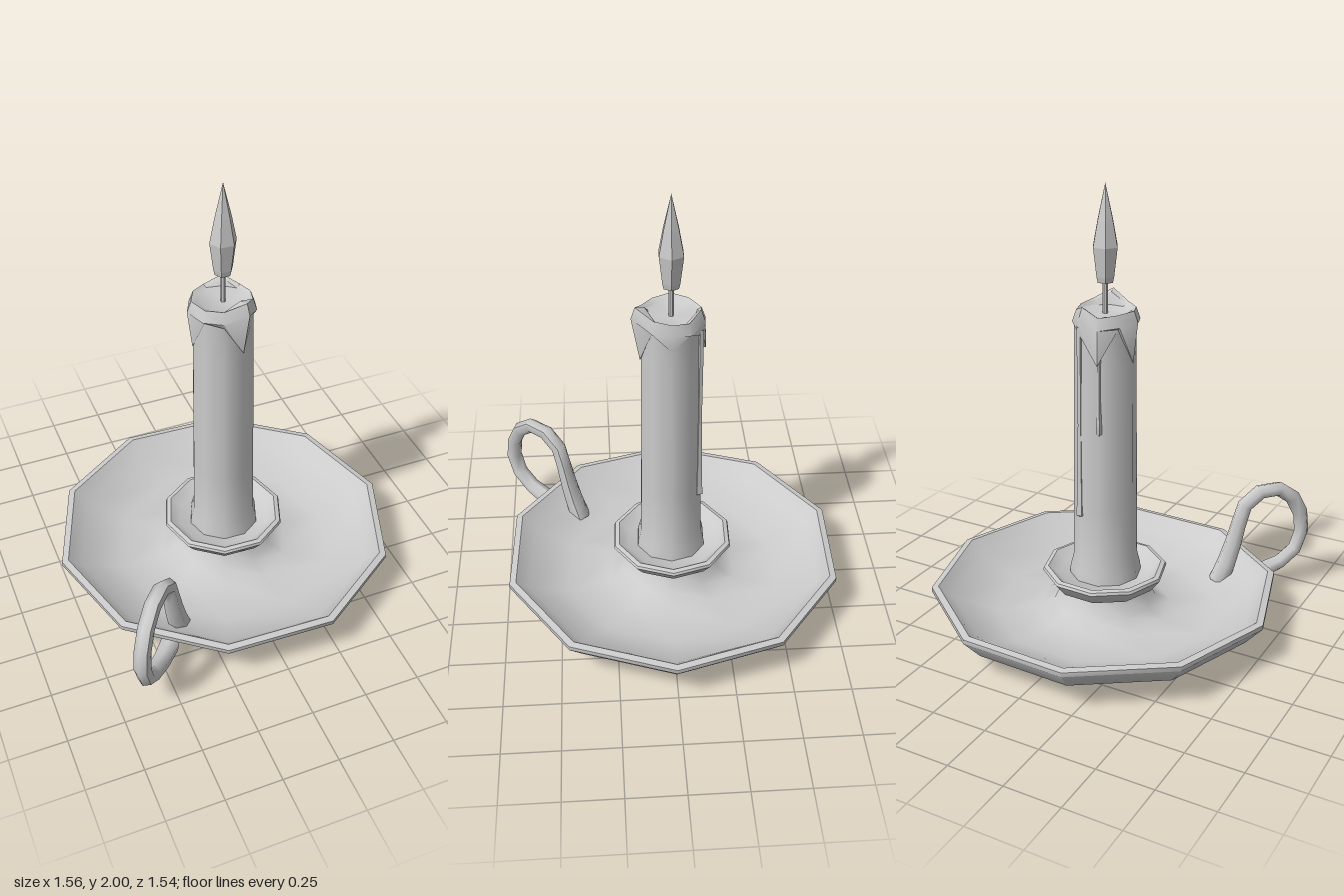
import * as THREE from 'three';
import { toCreasedNormals } from 'three/addons/utils/BufferGeometryUtils.js';

const SIDES = 10;
const START = THREE.MathUtils.degToRad(16);
const grey = new THREE.MeshStandardMaterial({ color: 0xcccccc, side: THREE.DoubleSide });
const flatGrey = new THREE.MeshStandardMaterial({ color: 0xcccccc, flatShading: true });

const lathe = (profile, sides = SIDES, start = START) =>
  new THREE.LatheGeometry(profile.map(([r, y]) => new THREE.Vector2(r, y)), sides, start);

function part(name, geometry, material = grey, crease = 0.8) {
  const mesh = new THREE.Mesh(crease ? toCreasedNormals(geometry, crease) : geometry, material);
  mesh.name = name;
  return mesh;
}

// Melted wax collar: every column has its own drip length, bulge and rim height
function waxCollar() {
  const low = [1.27, 1.44, 1.36, 1.43, 1.38, 1.27, 1.42, 1.26, 1.42, 1.41];
  const lowR = [0.138, 0.134, 0.134, 0.134, 0.138, 0.158, 0.134, 0.136, 0.134, 0.134];
  const bulge = [0.175, 0.145, 0.138, 0.14, 0.146, 0.152, 0.148, 0.157, 0.148, 0.146];
  const rim = [1.525, 1.49, 1.48, 1.475, 1.505, 1.47, 1.48, 1.485, 1.48, 1.485];
  const rows = 7;
  const geo = lathe(Array.from({ length: rows }, () => [1, 0]));
  const pos = geo.attributes.position;
  for (let i = 0; i <= SIDES; i++) {
    const k = i % SIDES, a = START + (i / SIDES) * Math.PI * 2;
    const column = [
      [0.12, low[k] + 0.01], [lowR[k], low[k]], [bulge[k], rim[k] - 0.05],
      [bulge[k] - 0.018, rim[k]], [0.115, rim[k] - 0.008], [0.1, 1.465], [0, 1.455],
    ];
    column.forEach(([r, y], j) => pos.setXYZ(i * rows + j, r * Math.sin(a), y, r * Math.cos(a)));
  }
  return geo;
}

// Looped handle in a diagonal upright plane, thicker where it joins the dish
function handleGeometry() {
  const points = [
    [-0.375, 0.09], [-0.41, 0.22], [-0.435, 0.36], [-0.46, 0.47], [-0.525, 0.525], [-0.595, 0.5],
    [-0.635, 0.42], [-0.657, 0.32], [-0.64, 0.2], [-0.595, 0.14], [-0.53, 0.105], [-0.46, 0.1],
  ].map(([x, y]) => new THREE.Vector3(x, y, 0.39 + (-0.36 - x) * 1.16));
  const curve = new THREE.CatmullRomCurve3(points);
  const rings = 13, radial = 6;
  const geo = new THREE.TubeGeometry(curve, rings, 0.036, radial);
  const pos = geo.attributes.position, v = new THREE.Vector3();
  for (let i = 0; i <= rings; i++) {
    const t = i / rings, centre = curve.getPointAt(t);
    const swell = 1 + 0.35 * Math.max(0, 1 - t * 4) + 0.3 * Math.max(0, t * 6 - 5);
    for (let j = 0; j <= radial; j++) {
      const n = i * (radial + 1) + j;
      v.fromBufferAttribute(pos, n).sub(centre).multiplyScalar(swell).add(centre);
      pos.setXYZ(n, v.x, v.y, v.z);
    }
  }
  geo.computeVertexNormals();
  return geo;
}

// Thin run of wax on the candle's side
function waxRun(degrees, bottom, top, radius) {
  const a = THREE.MathUtils.degToRad(degrees);
  const geo = lathe([[0, bottom], [radius, bottom + 0.015], [radius * 0.8, bottom + 0.07],
    [radius * 0.5, (bottom + top) / 2], [radius * 0.6, top]], 5, 0);
  const mesh = part('waxRun', geo);
  mesh.position.set(0.132 * Math.sin(a), 0, 0.132 * Math.cos(a));
  return mesh;
}

export function createModel() {
  const model = new THREE.Group();
  model.name = 'candleHolder';

  // Shallow dish with a raised centre
  const dish = part('dish', lathe([
    [0, 0], [0.45, 0], [0.7, 0.09], [0.78, 0.18], [0.78, 0.2], [0.75, 0.205],
    [0.69, 0.15], [0.5, 0.075], [0.3, 0.085], [0.23, 0.12], [0.19, 0.2],
  ]));

  // Flared cup holding the candle
  const cup = part('cup', lathe([
    [0.19, 0.195], [0.235, 0.21], [0.28, 0.268], [0.275, 0.28], [0.255, 0.285], [0.21, 0.25], [0, 0.25],
  ]));

  // Candle body, spreading slightly at the foot
  const candle = new THREE.Group();
  candle.name = 'candle';
  candle.add(
    part('candleBody', lathe([[0.16, 0.25], [0.157, 0.285], [0.143, 0.34], [0.14, 0.6], [0.133, 1.25], [0.13, 1.45]])),
    part('waxCollar', waxCollar(), grey, 0.7),
    waxRun(155, 0.55, 1.42, 0.024),
    waxRun(197, 0.95, 1.3, 0.014),
  );

  // Wick and faceted flame
  const wick = part('wick', new THREE.CylinderGeometry(0.011, 0.011, 0.17, 6));
  wick.position.y = 1.53;
  const flame = part('flame', lathe([[0, 1.585], [0.036, 1.59], [0.042, 1.615], [0.058, 1.74], [0.036, 1.85], [0, 2]], 6, 0.5), flatGrey, 0);
  candle.add(wick, flame);

  for (const p of [dish, cup]) p.position.z = -0.02;
  candle.position.z = -0.015;

  model.add(dish, cup, candle, part('handle', handleGeometry(), grey, 0));
  return model;
}
